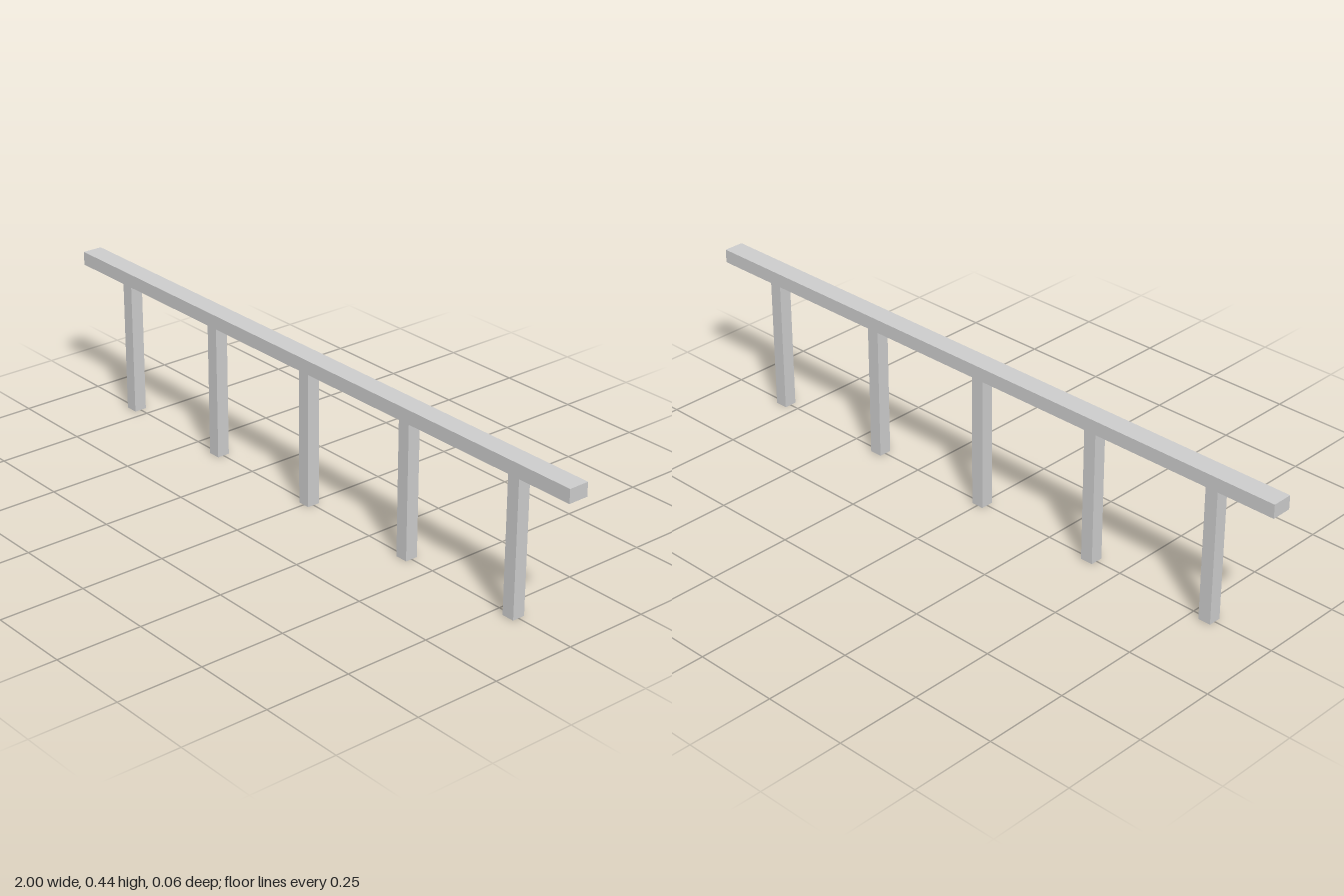
import * as THREE from 'three';

export function createModel() {
  const group = new THREE.Group();
  const material = new THREE.MeshStandardMaterial({ color: 0xcccccc, flatShading: true });
  const postHeight = 0.402, postWidth = 0.038, railHeight = 0.04;

  // Builds a box standing on the given height
  function addBox(name, width, height, depth, x, bottom) {
    const mesh = new THREE.Mesh(new THREE.BoxGeometry(width, height, depth), material);
    mesh.name = name;
    mesh.position.set(x, bottom + height / 2, 0);
    group.add(mesh);
  }

  // Long top rail
  addBox('rail', 2, railHeight, 0.06, 0, postHeight);

  // Five evenly spaced square posts
  for (let i = 0; i < 5; i++) {
    addBox(`post${i + 1}`, postWidth, postHeight, postWidth, (i - 2) * 0.4, 0);
  }

  return group;
}
